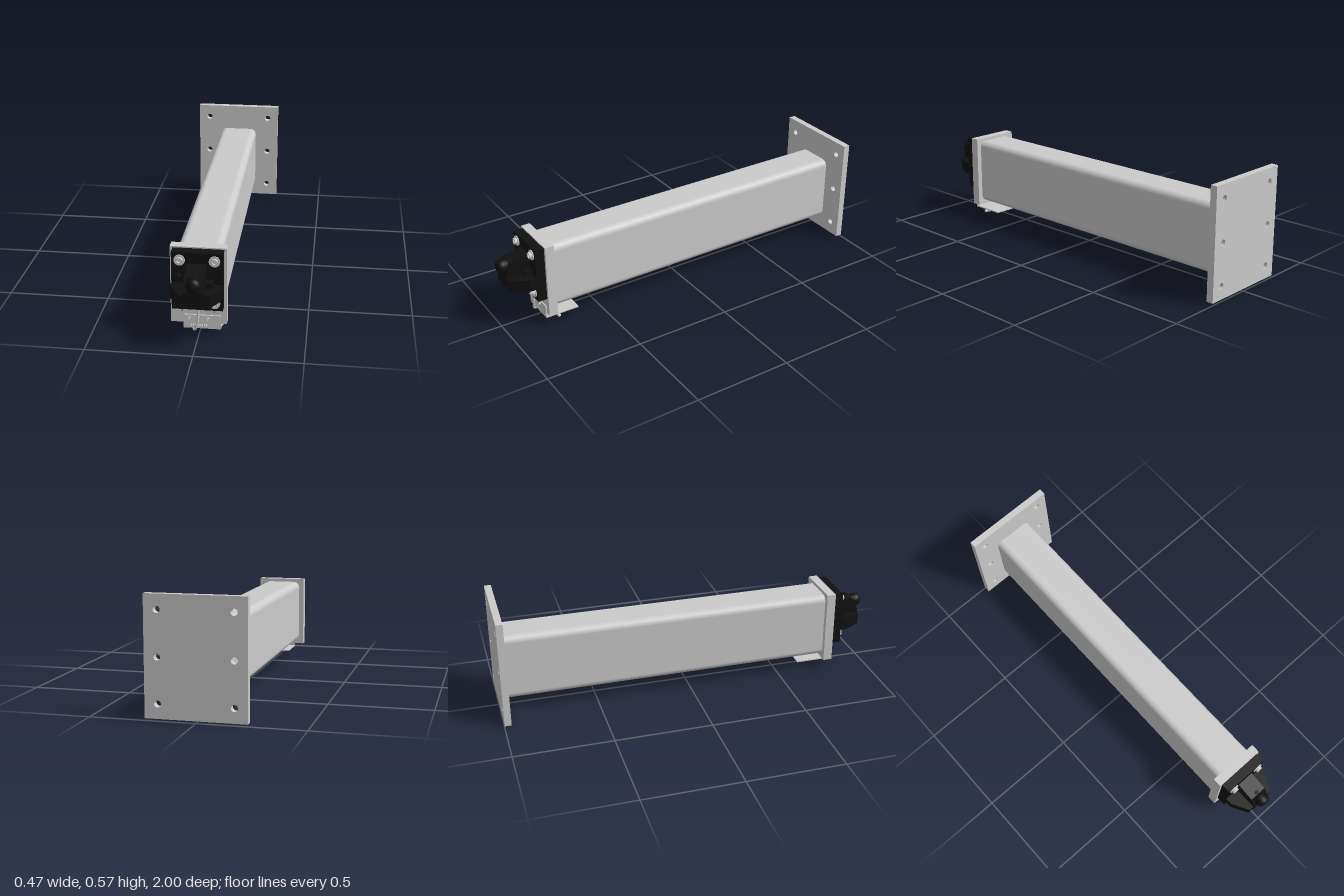
import * as THREE from 'three';

const grey = new THREE.MeshStandardMaterial({ color: 0xcccccc });
const black = new THREE.MeshStandardMaterial({ color: 0x111111 });

function add(parent, name, geometry, material, x = 0, y = 0, z = 0) {
  const mesh = new THREE.Mesh(geometry, material);
  mesh.name = name;
  mesh.position.set(x, y, z);
  parent.add(mesh);
  return mesh;
}

// Rectangle outline with optional corner radius
function rect(x0, y0, x1, y1, r = 0, S = THREE.Shape) {
  const s = new S();
  s.moveTo(x0 + r, y0);
  s.lineTo(x1 - r, y0);
  if (r) s.absarc(x1 - r, y0 + r, r, -Math.PI / 2, 0);
  else s.lineTo(x1, y0);
  s.lineTo(x1, y1 - r);
  if (r) s.absarc(x1 - r, y1 - r, r, 0, Math.PI / 2);
  s.lineTo(x0 + r, y1);
  if (r) s.absarc(x0 + r, y1 - r, r, Math.PI / 2, Math.PI);
  else s.lineTo(x0, y1);
  s.lineTo(x0, y0 + r);
  if (r) s.absarc(x0 + r, y0 + r, r, Math.PI, Math.PI * 1.5);
  s.closePath();
  return s;
}

const hole = (x, y, r) => new THREE.Path().absarc(x, y, r, 0, Math.PI * 2, true);
const polygon = pts => new THREE.Shape(pts.map(p => new THREE.Vector2(...p)));
const extrude = (shape, depth) =>
  new THREE.ExtrudeGeometry(shape, { depth, bevelEnabled: false, curveSegments: 16 });

// Profile drawn as (z, y), extruded symmetrically over x
const sideExtrude = (pts, width) =>
  extrude(polygon(pts), width).translate(0, 0, -width / 2).rotateY(-Math.PI / 2);

// Socket-head screw facing +z
function screw(parent, name, x, y, z, washerR, headR, height) {
  const g = new THREE.Group();
  g.name = name;
  g.position.set(x, y, z);
  add(g, 'washer', new THREE.CylinderGeometry(washerR, washerR, height * 0.3, 32).rotateX(Math.PI / 2),
    grey, 0, 0, height * 0.15);
  const head = new THREE.Shape().absarc(0, 0, headR, 0, Math.PI * 2);
  const socket = new THREE.Path();
  for (let i = 0; i < 6; i++) {
    const a = -i * Math.PI / 3, px = Math.cos(a) * headR * 0.55, py = Math.sin(a) * headR * 0.55;
    if (i) socket.lineTo(px, py); else socket.moveTo(px, py);
  }
  socket.closePath();
  head.holes.push(socket);
  add(g, 'socketHead', extrude(head, height * 0.7), grey, 0, 0, height * 0.3);
  parent.add(g);
}

export function createModel() {
  const model = new THREE.Group();
  model.name = 'mountingArm';

  // Rear wall plate with six holes
  const wall = rect(-0.237, 0.01, 0.237, 0.57);
  for (const x of [-0.176, 0.176])
    for (const y of [0.078, 0.289, 0.5]) wall.holes.push(hole(x, y, 0.016));
  add(model, 'wallPlate', extrude(wall, 0.035), grey, 0, 0, -1);

  // Rounded square tube and front end plate
  add(model, 'tube', extrude(rect(-0.105, 0.08, 0.105, 0.43, 0.035), 1.715), grey, 0, 0, -0.965);
  add(model, 'endPlate', new THREE.BoxGeometry(0.262, 0.386, 0.047), grey, 0, 0.254, 0.7735);
  for (const x of [-0.077, 0.073])
    add(model, 'pinHole', new THREE.CylinderGeometry(0.003, 0.003, 0.002, 10).rotateX(Math.PI / 2),
      black, x, 0.122, 0.797);

  // Black coupling: flange, wedge-shaped spine, side wings and knob
  const coupling = new THREE.Group();
  coupling.name = 'coupling';
  model.add(coupling);
  const flange = rect(-0.118, 0.154, 0.118, 0.441);
  flange.holes.push(hole(-0.08, 0.328, 0.011));
  add(coupling, 'flange', extrude(flange, 0.048), black, 0, 0, 0.797);
  add(coupling, 'spine', sideExtrude([
    [0.84, 0.157], [0.97, 0.245], [0.97, 0.305], [0.94, 0.365], [0.84, 0.388],
  ], 0.09), black);
  const wing = polygon([
    [-0.118, 0.84], [0.118, 0.84], [0.118, 0.88], [0.07, 0.965], [-0.07, 0.965], [-0.118, 0.88],
  ]);
  add(coupling, 'wings', extrude(wing, 0.062).rotateX(Math.PI / 2), black, 0, 0.288, 0);
  add(coupling, 'latchBlock', new THREE.BoxGeometry(0.03, 0.055, 0.05), black, 0.06, 0.285, 0.865);
  const knob = [[0, 0.84], [0.03, 0.84], [0.03, 0.93], [0.024, 0.94], [0.034, 0.95], [0.035, 0.972],
    [0.031, 0.988], [0.02, 0.997], [0, 1]].map(p => new THREE.Vector2(...p));
  add(coupling, 'knob', new THREE.LatheGeometry(knob, 32).rotateX(Math.PI / 2), black, 0, 0.34, 0);
  for (const x of [-0.08, 0.08])
    for (const y of [0.192, 0.403]) screw(coupling, 'flangeBolt', x, y, 0.845, 0.026, 0.017, 0.018);

  // Slotted angle bracket under the coupling
  const bracket = new THREE.Group();
  bracket.name = 'sensorBracket';
  model.add(bracket);
  const panel = rect(-0.071, 0.035, 0.104, 0.104, 0.005);
  for (let i = 0; i < 8; i++) {
    const x = -0.036 + i * 0.01;
    panel.holes.push(rect(x, 0.046, x + 0.004, 0.058, 0, THREE.Path));
  }
  add(bracket, 'bracketFace', extrude(panel, 0.006), grey, 0, 0, 0.797);
  add(bracket, 'bracketShelf', new THREE.BoxGeometry(0.175, 0.006, 0.18), grey, 0.0165, 0.037, 0.712);
  for (const x of [-0.045, 0.043]) screw(bracket, 'bracketScrew', x, 0.087, 0.803, 0.01, 0.007, 0.008);

  // Plug connector hanging from the shelf
  const connector = new THREE.Group();
  connector.name = 'connector';
  model.add(connector);
  add(connector, 'connectorBody', new THREE.BoxGeometry(0.07, 0.027, 0.08), black, 0.03, 0.0205, 0.72);
  for (const x of [0.008, 0.053])
    add(connector, 'connectorFoot', new THREE.CylinderGeometry(0.006, 0.006, 0.01, 16), black, x, 0.005, 0.72);
  const glands = [[0.073, 0.011, 0.016, 6], [0.09, 0.009, 0.02, 20], [-0.012, 0.009, 0.016, 6]];
  for (const [x, r, len, sides] of glands)
    add(connector, 'cableGland', new THREE.CylinderGeometry(r, r, len, sides).rotateZ(Math.PI / 2),
      grey, x, 0.022, 0.73);
  add(connector, 'glandCap', new THREE.SphereGeometry(0.009, 16, 12), grey, 0.099, 0.022, 0.73);

  // Cable from the coupling down and back to the connector
  const path = new THREE.CatmullRomCurve3([
    [0, 0.165, 0.812], [0, 0.12, 0.814], [-0.004, 0.07, 0.816], [-0.015, 0.033, 0.812],
    [-0.026, 0.022, 0.79], [-0.028, 0.022, 0.75], [-0.022, 0.022, 0.731], [-0.01, 0.022, 0.73],
  ].map(p => new THREE.Vector3(...p)));
  add(model, 'cable', new THREE.TubeGeometry(path, 48, 0.0055, 12), grey);

  return model;
}
